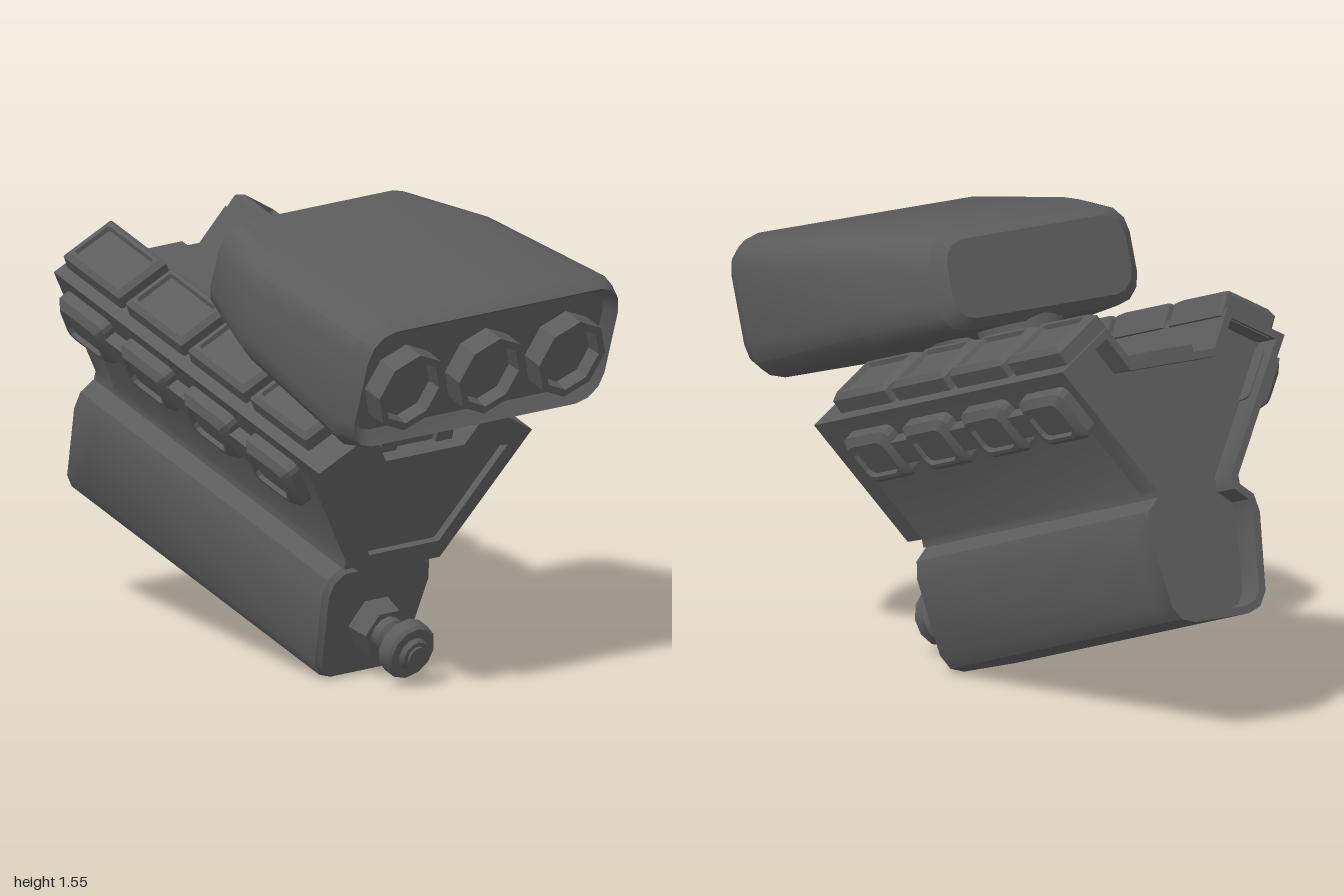
import * as THREE from 'three';
import { toCreasedNormals } from 'three/addons/utils/BufferGeometryUtils.js';

const material = new THREE.MeshStandardMaterial({ color: 0x5c5c5c });

function part(parent, name, geometry, crease = 0.6) {
  const mesh = new THREE.Mesh(toCreasedNormals(geometry, crease), material);
  mesh.name = name;
  parent.add(mesh);
  return mesh;
}

// Mirror a right-hand profile (bottom to top) into a closed outline
function mirrored(half) {
  const left = half.map(([x, y]) => [-x, y]).reverse();
  return [...half, ...left].map(([x, y]) => new THREE.Vector2(x, y));
}

// Move a counter-clockwise outline inward by d
function inset(points, d) {
  const n = points.length;
  return points.map((p, i) => {
    const a = p.clone().sub(points[(i + n - 1) % n]).normalize();
    const b = points[(i + 1) % n].clone().sub(p).normalize();
    const na = new THREE.Vector2(-a.y, a.x), nb = new THREE.Vector2(-b.y, b.x);
    return na.clone().add(nb).multiplyScalar(d / (1 + na.dot(nb))).add(p);
  });
}

// Slab between two depths, optionally with a hole
function slab(points, z0, z1, hole) {
  const shape = new THREE.Shape(points);
  if (hole) shape.holes.push(new THREE.Path(hole));
  return new THREE.ExtrudeGeometry(shape, { depth: z1 - z0, bevelEnabled: false }).translate(0, 0, z0);
}

function roundedOutline(hw, y0, y1, r, steps) {
  const points = [];
  const cy = (y0 + y1) / 2, hh = (y1 - y0) / 2;
  [[1, -1], [1, 1], [-1, 1], [-1, -1]].forEach(([sx, sy], c) => {
    for (let i = 0; i <= steps; i++) {
      const a = (c - 1 + i / steps) * Math.PI / 2;
      points.push(new THREE.Vector2(sx * (hw - r) + r * Math.cos(a), cy + sy * (hh - r) + r * Math.sin(a)));
    }
  });
  return points;
}

// Skin over matching outlines, ordered back to front, with flat ends
function loft(sections) {
  const n = sections[0].points.length, positions = [], index = [];
  sections.forEach(s => s.points.forEach(p => positions.push(p.x, p.y, s.z)));
  for (let s = 0; s < sections.length - 1; s++) {
    for (let i = 0; i < n; i++) {
      const a = s * n + i, b = s * n + (i + 1) % n;
      index.push(a, b, b + n, a, b + n, a + n);
    }
  }
  const last = (sections.length - 1) * n;
  for (let i = 1; i < n - 1; i++) {
    index.push(0, i + 1, i, last, last + i, last + i + 1);
  }
  const geometry = new THREE.BufferGeometry();
  geometry.setAttribute('position', new THREE.Float32BufferAttribute(positions, 3));
  geometry.setIndex(index);
  return geometry;
}

// Bevelled box facing +z with a sunken centre panel
function panelBox(width, length, height, r, bevel) {
  const at = (d, z) => ({ z, points: roundedOutline(width / 2 - d, d - length / 2, length / 2 - d, r, 2) });
  return loft([at(0, -0.03), at(0, height - bevel), at(bevel, height),
    at(bevel + 0.012, height), at(bevel + 0.017, height - 0.015)]);
}

// Place a part at x, y, z so that its +z side faces the normal
function face(object, x, y, z, nx, ny) {
  const normal = new THREE.Vector3(nx, ny, 0).normalize();
  const along = new THREE.Vector3(0, 0, 1);
  const across = new THREE.Vector3().crossVectors(along, normal);
  object.quaternion.setFromRotationMatrix(new THREE.Matrix4().makeBasis(across, along, normal));
  object.position.set(x, y, z);
}

export function createModel() {
  const model = new THREE.Group();
  const engine = new THREE.Group();
  engine.name = 'engine';
  engine.rotation.x = 0.304; // nose-down tilt
  model.add(engine);

  // Crankcase with a bevelled front, and V-shaped block
  const lower = [[0.11, 0.085], [0.162, 0.102], [0.194, 0.15], [0.23, 0.41], [0.218, 0.47], [0.17, 0.51]];
  const upper = [[0.17, 0.54], [0.46, 0.97], [0.25, 1.09], [0.17, 0.965]];
  const pan = mirrored(lower);
  const vee = mirrored(upper);
  const whole = mirrored([...lower, ...upper]);
  part(engine, 'crankcase', loft([{ z: -0.98, points: pan }, { z: 0.245, points: pan },
    { z: 0.265, points: inset(pan, 0.015) }]));
  part(engine, 'block', slab(mirrored([[0.17, 0.51], ...upper]), -0.98, 0.26));
  part(engine, 'frontCover', slab(vee, 0.26, 0.315));
  part(engine, 'frontCoverRim', slab(vee, 0.315, 0.34, mirrored([[0.15, 0.605], [0.365, 0.93], [0.2, 0.95]])));

  // Hollow rear housing
  part(engine, 'rearHousing', slab(whole, -1.076, -0.98, inset(whole, 0.026)));

  // Intake manifold along the valley, with wedge supports under the scoop
  part(engine, 'manifold', new THREE.BoxGeometry(0.17, 0.05, 1.34).translate(0, 0.965, -0.4));
  part(engine, 'intakeNeck', new THREE.CylinderGeometry(0.145, 0.145, 0.28, 16).translate(0, 1.08, -0.265));
  const wedge = [[-0.7, 0.96], [0.29, 0.96], [0.29, 1.1], [-0.05, 1.17]].map(p => new THREE.Vector2(...p));
  for (const x of [0.12, -0.12]) {
    part(engine, 'manifoldSupport', slab(wedge, -0.035, 0.035).rotateY(-Math.PI / 2).translate(x, 0, 0));
  }

  // Four rocker covers and four exhaust ports on each bank
  for (const s of [1, -1]) {
    for (let i = 0; i < 4; i++) {
      const z = 0.083 - i * 0.332;
      const cover = part(engine, 'rockerCover', panelBox(0.21, 0.3, 0.068, 0.008, 0.018), 0.3);
      face(cover, s * 0.332, 1.043, z, s * 0.496, 0.868);
      const port = part(engine, 'exhaustPort', panelBox(0.19, 0.24, 0.066, 0.025, 0.024), 0.3);
      face(port, s * 0.375, 0.848, z, s * 0.835, -0.55);
    }
    const rail = part(engine, 'exhaustRail', new THREE.BoxGeometry(0.09, 1.0, 0.09));
    face(rail, s * 0.377, 0.848, -0.415, s * 0.835, -0.55);
  }

  // Air scoop, widening to the front, with a recessed mouth
  const scoop = [
    [-0.428, 0.37, 1.21, 1.475, 0.08], [-0.392, 0.415, 1.175, 1.508, 0.1], [-0.08, 0.525, 1.162, 1.564, 0.12],
    [0.47, 0.565, 1.145, 1.63, 0.12], [0.532, 0.54, 1.175, 1.61, 0.1], [0.49, 0.51, 1.215, 1.575, 0.08],
  ].map(([z, hw, y0, y1, r]) => ({ z, points: roundedOutline(hw, y0, y1, r, 3) }));
  part(engine, 'airScoop', loft(scoop), 0.55);

  // Octagonal intake throats
  const throat = [[0.142, 0.4], [0.142, 0.568], [0.115, 0.568], [0.11, 0.52], [0, 0.52]]
    .map(([r, z]) => new THREE.Vector2(r, z));
  for (const x of [-0.345, 0, 0.345]) {
    const g = new THREE.LatheGeometry(throat, 8).rotateX(Math.PI / 2);
    part(engine, 'intakeThroat', g.translate(x, 1.38, 0), 0.3);
  }

  // Crank nut and pulley
  const nut = new THREE.CylinderGeometry(0.085, 0.1, 0.08, 6).rotateY(Math.PI / 6).rotateX(Math.PI / 2);
  part(engine, 'crankNut', nut.translate(0, 0.285, 0.3), 0.3);
  const pulley = [[0.06, 0.25], [0.06, 0.37], [0.045, 0.385], [0.045, 0.415], [0.085, 0.415], [0.1, 0.43],
    [0.1, 0.475], [0.09, 0.487], [0.058, 0.487], [0.05, 0.505], [0.035, 0.505], [0.035, 0.515], [0, 0.515]]
    .map(([r, z]) => new THREE.Vector2(r, z));
  part(engine, 'crankPulley', new THREE.LatheGeometry(pulley, 12).rotateX(Math.PI / 2).translate(0, 0.285, 0));

  return model;
}
